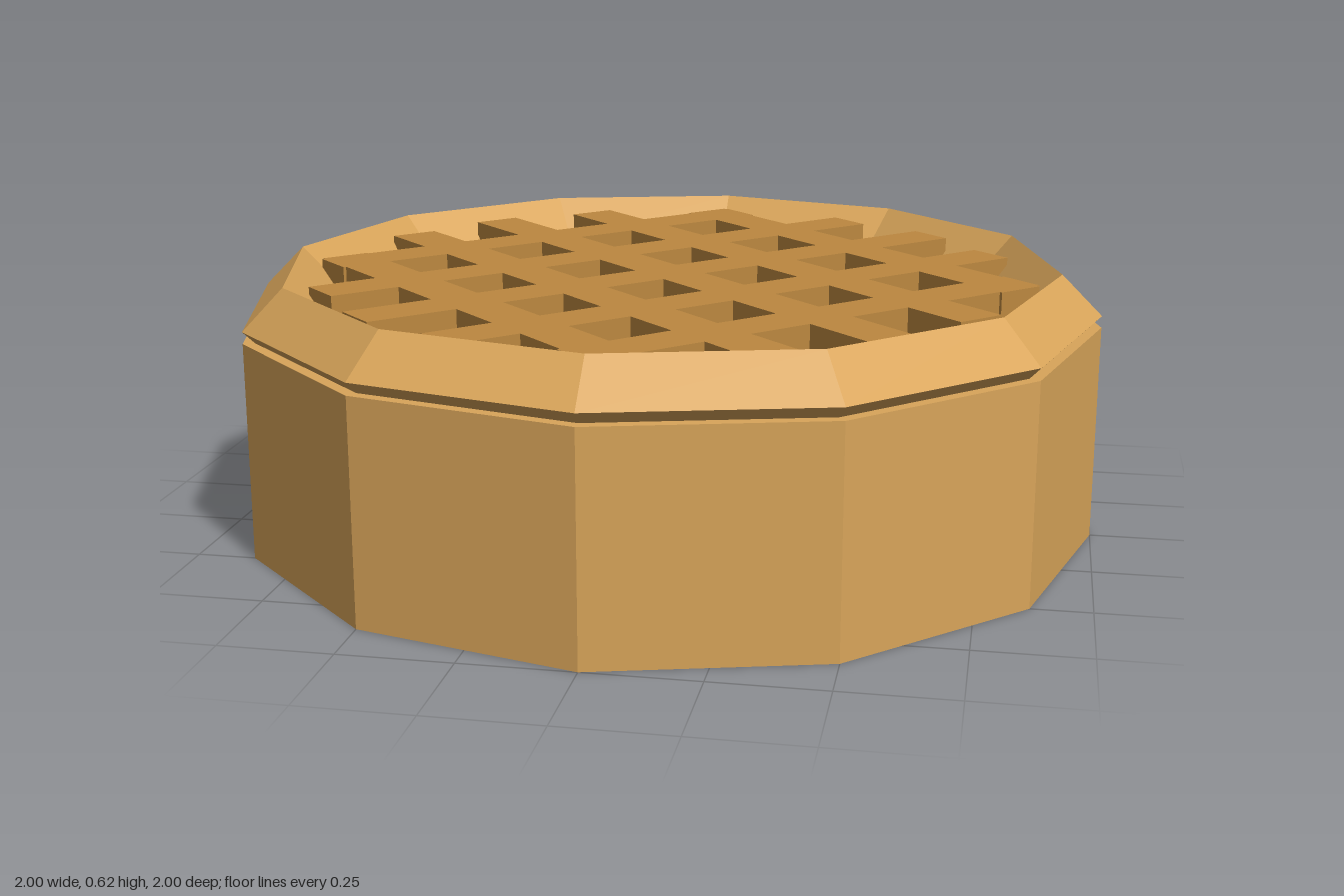
import * as THREE from 'three';

const SIDES = 12;
const material = (color) => new THREE.MeshStandardMaterial({ color, flatShading: true });

export function createModel() {
  const pie = new THREE.Group();
  pie.name = 'latticePie';
  const crustMat = material(0xd9a55a);
  const latticeMat = material(0xbd8840);
  const fillingMat = material(0x9c3440);

  const add = (parent, name, geometry, mat, y) => {
    const mesh = new THREE.Mesh(geometry, mat);
    mesh.name = name;
    mesh.position.y = y;
    parent.add(mesh);
    return mesh;
  };

  // Twelve-sided crust base
  add(pie, 'crustBase', new THREE.CylinderGeometry(1, 1, 0.5, SIDES), crustMat, 0.25);

  // Diamond-section rim, half sunk into the base
  const tube = 0.093;
  const rim = new THREE.TorusGeometry(1 - tube, tube, 4, SIDES).rotateX(Math.PI / 2);
  add(pie, 'crustRim', rim, crustMat, 0.527);

  // Fruit filling inside the rim
  add(pie, 'filling', new THREE.CylinderGeometry(0.82, 0.82, 0.05, SIDES), fillingMat, 0.508);

  // Two crossed sets of strips, each cut to the chord of a circle
  const lattice = new THREE.Group();
  lattice.name = 'lattice';
  pie.add(lattice);
  const spacing = 0.272, reach = 0.817, width = 0.117, height = 0.08;
  for (const turn of [1, -1]) {
    const strips = new THREE.Group();
    strips.name = turn > 0 ? 'latticeStripsA' : 'latticeStripsB';
    strips.rotation.y = turn * Math.PI / 4;
    lattice.add(strips);
    for (let i = -2; i <= 2; i++) {
      const offset = i * spacing;
      const length = 2 * Math.sqrt(reach * reach - offset * offset);
      const strip = add(strips, 'latticeStrip', new THREE.BoxGeometry(length, height, width), latticeMat, 0.552);
      strip.position.z = offset;
    }
  }
  return pie;
}
